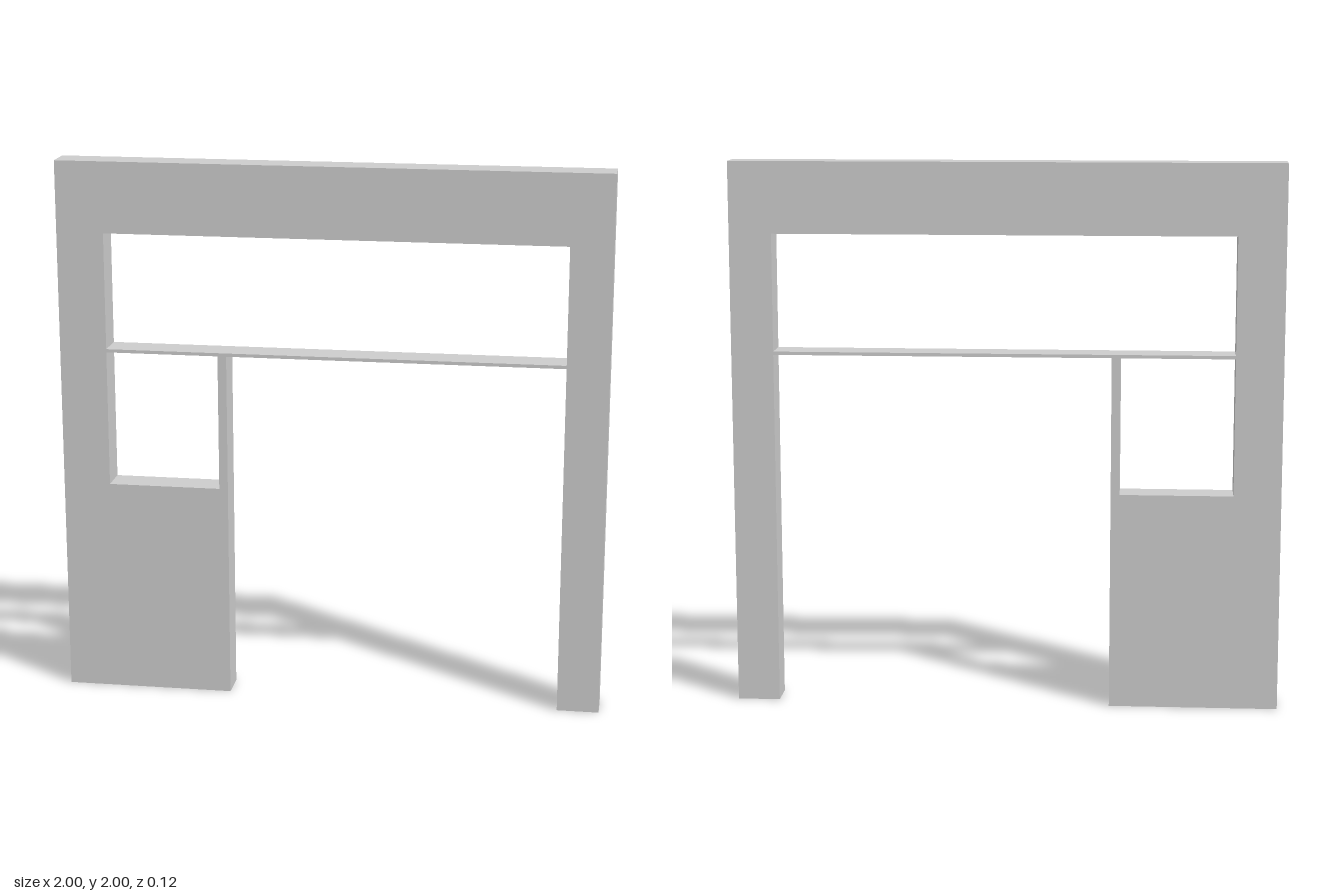
import * as THREE from 'three';

const DEPTH = 0.115;

// Rectangular hole from two opposite corners
function rectHole(x0, y0, x1, y1) {
  return new THREE.Path([[x0, y0], [x0, y1], [x1, y1], [x1, y0]].map(p => new THREE.Vector2(...p)));
}

export function createModel() {
  const group = new THREE.Group();
  group.name = 'doorwayWall';

  // Opening edges
  const left = -0.827, right = 0.846, jamb = -0.382;
  const transomBottom = 1.3, transomTop = 1.312;

  // Wall outline with the doorway cut up from the floor
  const outline = new THREE.Shape([
    [-1, 0], [jamb, 0], [jamb, transomBottom], [right, transomBottom],
    [right, 0], [1, 0], [1, 2], [-1, 2],
  ].map(p => new THREE.Vector2(...p)));

  // Upper light above the thin transom, and side window beside the door
  outline.holes.push(
    rectHole(left, transomTop, right, 1.74),
    rectHole(left, 0.798, -0.414, transomBottom),
  );

  const geometry = new THREE.ExtrudeGeometry(outline, { depth: DEPTH, bevelEnabled: false });
  geometry.translate(0, 0, -DEPTH / 2);

  const wall = new THREE.Mesh(geometry, new THREE.MeshStandardMaterial({ color: 0xcccccc }));
  wall.name = 'wallFrame';
  group.add(wall);
  return group;
}
